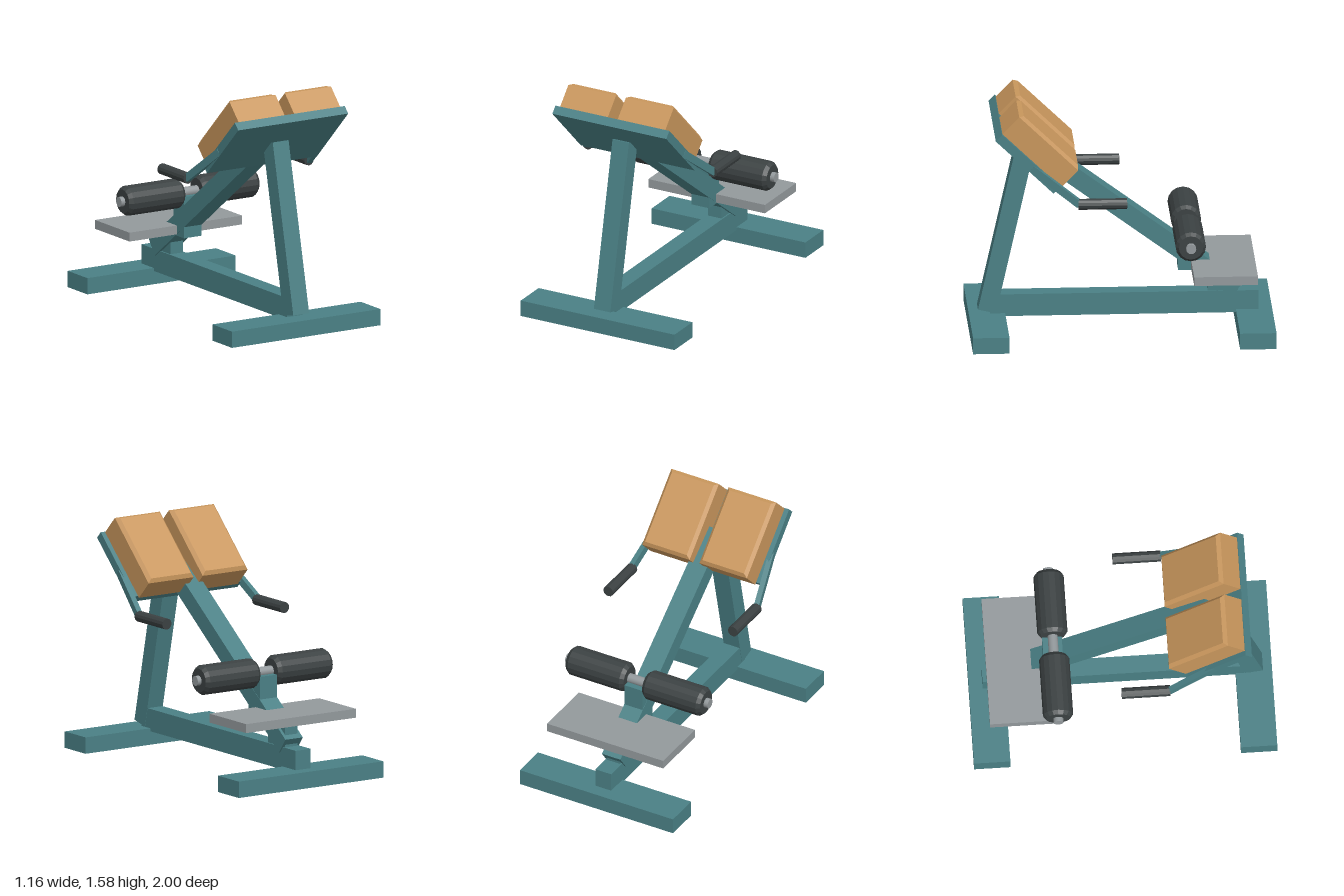
import * as THREE from 'three';
import { ConvexGeometry } from 'three/addons/geometries/ConvexGeometry.js';

const mat = (name, color, flatShading = false) => {
  const m = new THREE.MeshStandardMaterial({ color, flatShading });
  m.name = name;
  return m;
};

export function createModel() {
  const root = new THREE.Group();
  root.name = 'backExtensionBench';
  const teal = mat('teal frame', 0x4a8085);
  const tan = mat('tan upholstery', 0xc8965c);
  const grey = mat('grey metal', 0x93999c);
  const black = mat('black foam', 0x3b4142, true);

  const add = (name, geo, material, parent = root) => {
    const m = new THREE.Mesh(geo, material);
    m.name = name;
    parent.add(m);
    return m;
  };
  // box given by its min and max corners
  const box = (name, a, b, material, parent) => {
    const m = add(name, new THREE.BoxGeometry(b[0] - a[0], b[1] - a[1], b[2] - a[2]), material, parent);
    m.position.set((a[0] + b[0]) / 2, (a[1] + b[1]) / 2, (a[2] + b[2]) / 2);
    return m;
  };
  // square tube running from point a to point b
  const bar = (name, a, b, w, h, material) => {
    const p = new THREE.Vector3(...a), q = new THREE.Vector3(...b);
    const m = add(name, new THREE.BoxGeometry(w, h, p.distanceTo(q)), material);
    m.position.copy(p).lerp(q, 0.5);
    m.lookAt(q);
    return m;
  };

  // base
  box('frontFoot', [-0.58, 0, 0.76], [0.58, 0.11, 1], teal);
  box('rearFoot', [-0.58, 0, -1], [0.58, 0.11, -0.76], teal);
  box('baseRail', [-0.06, 0.09, -0.91], [0.06, 0.24, 0.86], teal);

  // upright and sloping beam
  bar('upright', [0, 0.125, 0.88], [0, 1.245, 0.63], 0.124, 0.122, teal);
  bar('slopingBeam', [0, 0.25, -0.77], [0, 1.265, 0.595], 0.14, 0.12, teal);

  // foot plate with its support
  box('footPlateSupport', [-0.05, 0.22, -0.775], [0.05, 0.41, -0.575], teal);
  box('footPlate', [-0.44, 0.4, -0.885], [0.44, 0.46, -0.465], grey);

  // ankle rollers
  box('rollerBracket', [-0.068, 0.39, -0.51], [0.068, 0.67, -0.38], teal);
  const rod = add('rollerRod', new THREE.CylinderGeometry(0.033, 0.033, 1.08, 16), grey);
  rod.rotation.z = Math.PI / 2;
  rod.position.set(0, 0.687, -0.44);
  const rollerProfile = [[0, -0.22], [0.08, -0.22], [0.1, -0.195], [0.1, 0.195], [0.08, 0.22], [0, 0.22]]
    .map(([x, y]) => new THREE.Vector2(x, y));

  // tilted hip rest: backing plate and two chamfered pads
  const rest = new THREE.Group();
  rest.name = 'hipRest';
  rest.position.set(0, 1.28, 0.61);
  rest.rotation.x = THREE.MathUtils.degToRad(-44);
  root.add(rest);
  box('backingPlate', [-0.43, -0.06, -0.265], [0.43, 0, 0.265], teal, rest);

  const padPoints = [];
  for (const [y, inset] of [[0, 0], [0.16, 0], [0.182, 0.022]])
    for (const sx of [-1, 1])
      for (const sz of [-1, 1])
        padPoints.push(new THREE.Vector3(sx * (0.18 - inset), y, sz * (0.27 - inset)));
  const padGeo = new ConvexGeometry(padPoints);

  // mirrored parts
  for (const s of [-1, 1]) {
    const side = s > 0 ? 'left' : 'right';
    const roller = add(side + 'Roller', new THREE.LatheGeometry(rollerProfile, 16), black);
    roller.rotation.z = Math.PI / 2;
    roller.position.set(s * 0.29, 0.687, -0.44);

    add(side + 'Pad', padGeo, tan, rest).position.set(s * 0.217, 0, -0.01);

    bar(side + 'HandleArm', [s * 0.415, 1.225, 0.6], [s * 0.475, 0.99, 0.29], 0.035, 0.05, teal);
    const grip = add(side + 'Grip', new THREE.CylinderGeometry(0.037, 0.037, 0.32, 12), black);
    grip.rotation.x = Math.PI / 2;
    grip.position.set(s * 0.472, 0.99, 0.14);
  }
  return root;
}
